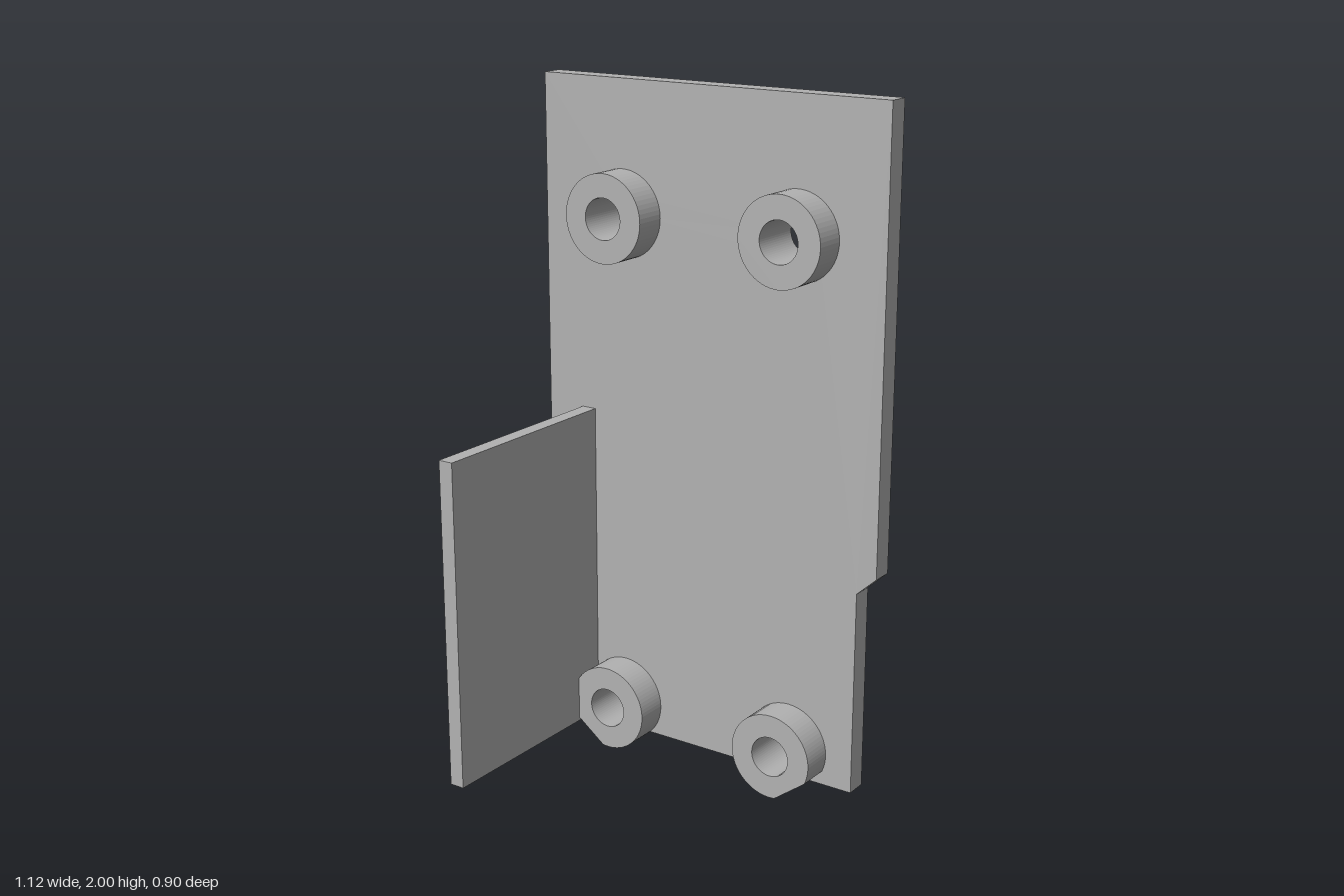
import * as THREE from 'three';

const BACK = -0.257, FACE = -0.193, BOSS_FRONT = -0.095, REAR = -0.45;
const HOLE_R = 0.06, BOSS_R = 0.128, HOLE_X = 0.288, HOLE_Y = [0.13, 1.62];

export function createModel() {
  const group = new THREE.Group();
  const grey = new THREE.MeshStandardMaterial({ color: 0xb2b2b2 });
  grey.name = 'grey plastic';

  const add = (name, geometry) => {
    const mesh = new THREE.Mesh(geometry, grey);
    mesh.name = name;
    group.add(mesh);
    return mesh;
  };

  // Extrudes a front outline between two depths
  const slab = (name, shape, z0, z1) => {
    const geo = new THREE.ExtrudeGeometry(shape, { depth: z1 - z0, bevelEnabled: false, curveSegments: 32 });
    geo.translate(0, 0, z0);
    return add(name, geo);
  };

  const polygon = (points) => new THREE.Shape(points.map(([x, y]) => new THREE.Vector2(x, y)));
  const hole = (x, y) => new THREE.Path().absarc(x, y, HOLE_R, 0, Math.PI * 2, true);

  // Backplate, narrower at the bottom, with four screw holes
  const half = [[0.5, 0.037], [0.5, 0.645], [0.56, 0.7], [0.56, 2]];
  const plate = polygon([...half, ...half.map(([x, y]) => [-x, y]).reverse()]);
  for (const side of [-1, 1]) for (const y of HOLE_Y) plate.holes.push(hole(side * HOLE_X, y));
  slab('backplate', plate, BACK, FACE);

  // Screw bosses; the lower pair have a flat on the outer lower side
  for (const side of [-1, 1]) {
    for (const y of HOLE_Y) {
      const boss = new THREE.Shape();
      const x = side * HOLE_X;
      if (y > 1) boss.absarc(x, y, BOSS_R, 0, Math.PI * 2, false);
      else {
        const outer = -0.42, tip = -1.43;
        if (side > 0) boss.absarc(x, y, BOSS_R, outer, tip + Math.PI * 2, false);
        else boss.absarc(x, y, BOSS_R, -Math.PI - tip, Math.PI - outer, false);
        boss.closePath();
      }
      boss.holes.push(hole(x, y));
      slab(y > 1 ? 'upperBoss' : 'lowerBoss', boss, FACE, BOSS_FRONT);
    }
  }

  // L-shaped rear rails with inward feet
  slab('rightRail', polygon([
    [-0.39, 0.037], [-0.197, 0.037], [-0.197, 0.083], [-0.345, 0.083], [-0.345, 1.74], [-0.39, 1.74],
  ]), REAR, BACK);
  slab('leftRail', polygon([
    [0.39, 0.055], [0.39, 1.74], [0.342, 1.74], [0.342, 0.083],
    [0.195, 0.083], [0.195, 0.037], [0.342, 0.037], [0.342, 0.055],
  ]), REAR, BACK);

  // Side wing projecting forward
  slab('sideWing', polygon([[-0.44, 0.06], [-0.395, 0.06], [-0.395, 1.03], [-0.44, 1.03]]), FACE, 0.45);

  return group;
}
